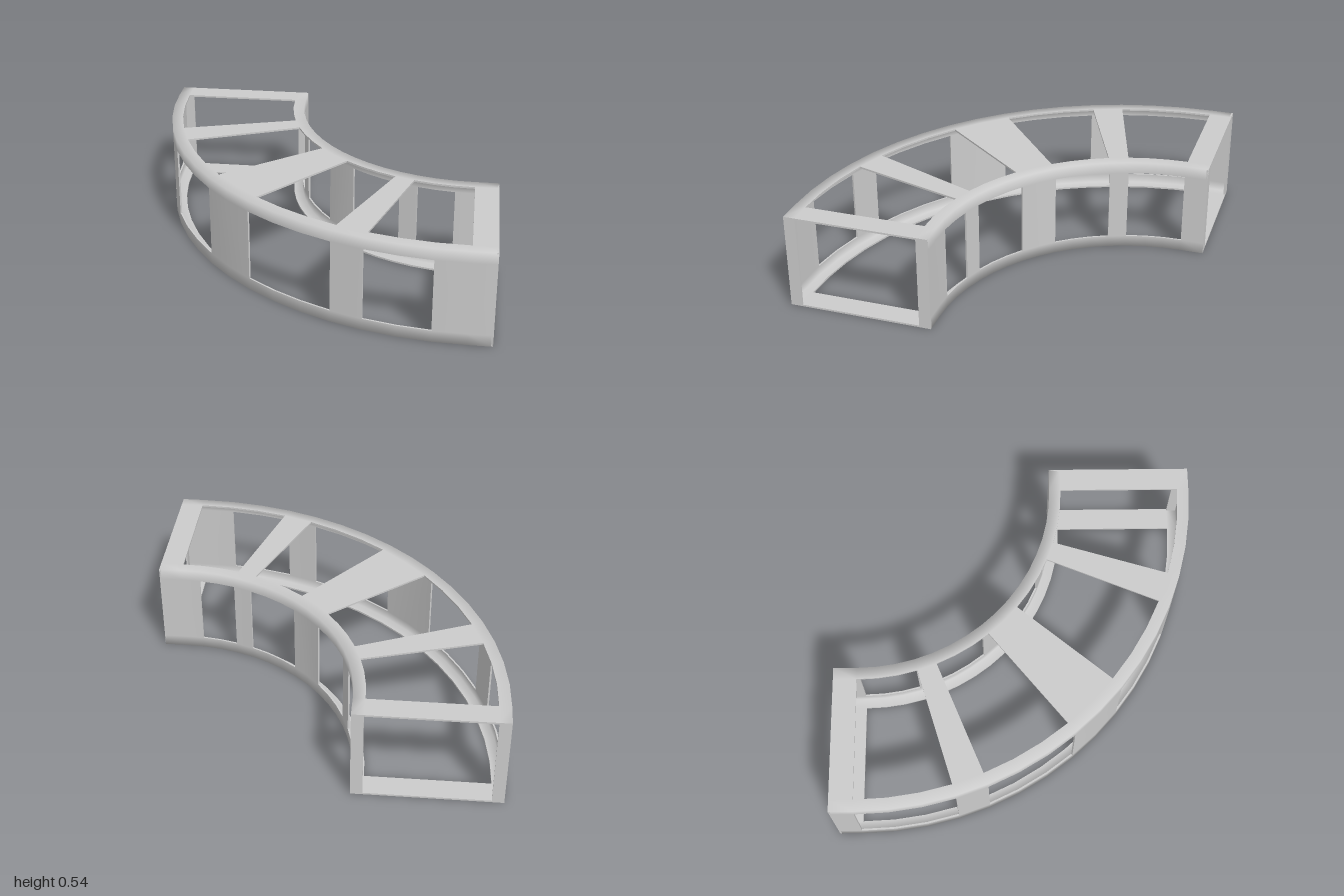
import * as THREE from 'three';
import { toCreasedNormals } from 'three/addons/utils/BufferGeometryUtils.js';

const STEPS = 16;      // facets in the quarter bend
const END = 0.13;      // straight length at each end
const CENTRE = 0.87;   // bend centre is (CENTRE, -CENTRE)
const HEIGHT = 0.535, BAR = 0.065, SHEET = 0.01;
const R0 = 1.07, R1 = 1.87;
const CELLS = STEPS + 2;

// Cross-section as [radius, height]: up the outer wall, over the top, down the inner wall, under
const SECTION = [
  [R1, 0], [R1, BAR], [R1, HEIGHT - BAR],
  [R1, HEIGHT], [R1 - BAR, HEIGHT], [R0 + BAR, HEIGHT],
  [R0, HEIGHT], [R0, HEIGHT - BAR], [R0, BAR],
  [R0, 0], [R0 + BAR, 0], [R1 - BAR, 0],
];
const N = SECTION.length;

// Cells along the bend that stay solid between the rails, by middle strip
const WALL = [0, 1, 4, 8, 9, 13, 17];
const SOLID = { 1: WALL, 4: [0, 4, 8, 9, 13, 17], 7: WALL, 10: [0, 17] };

function isSolid(cell, strip) {
  if (cell < 0 || cell >= CELLS) return false;
  return !SOLID[strip] || SOLID[strip].includes(cell);
}

// Vertices of every cross-section, pulled inwards by an inset
function layer(inset) {
  const points = [];
  for (let i = 0; i <= CELLS; i++) {
    const a = (THREE.MathUtils.clamp(i - 1, 0, STEPS) / STEPS) * Math.PI / 2;
    for (const [radius, height] of SECTION) {
      const r = THREE.MathUtils.clamp(radius, R0 + inset, R1 - inset);
      const y = THREE.MathUtils.clamp(height, inset, HEIGHT - inset);
      const x = CENTRE - r * Math.sin(a) + (i === 0 ? END : 0);
      const z = -CENTRE + r * Math.cos(a) - (i === CELLS ? END : 0);
      points.push(x, y, z);
    }
  }
  return points;
}

function surface(positions, index) {
  const geometry = new THREE.BufferGeometry();
  geometry.setAttribute('position', new THREE.Float32BufferAttribute(positions, 3));
  geometry.setIndex(index);
  geometry.computeVertexNormals();
  return geometry;
}

export function createModel() {
  const model = new THREE.Group();
  const material = new THREE.MeshStandardMaterial({ color: 0xcccccc });
  function add(name, geometry) {
    const mesh = new THREE.Mesh(geometry, material);
    mesh.name = name;
    model.add(mesh);
    return mesh;
  }

  const positions = [...layer(0), ...layer(SHEET)];
  const inner = N * (CELLS + 1);
  const skin = [], rim = [];
  for (let i = 0; i < CELLS; i++) {
    for (let k = 0; k < N; k++) {
      if (!isSolid(i, k)) continue;
      const next = (k + 1) % N, previous = (k + N - 1) % N;
      const a = i * N + k, b = i * N + next;
      const c = b + N, d = a + N;
      // Outside face and the inside face behind it
      skin.push(a, b, c, a, c, d);
      skin.push(a + inner, c + inner, b + inner, a + inner, d + inner, c + inner);
      // Sheet edge wherever the neighbouring cell is cut away
      const edges = [[a, b, i - 1, k], [b, c, i, next], [c, d, i + 1, k], [d, a, i, previous]];
      for (const [p, q, cell, strip] of edges) {
        if (!isSolid(cell, strip)) rim.push(q, p, p + inner, q, p + inner, q + inner);
      }
    }
  }
  add('curvedFrame', surface(positions, skin));
  add('cutEdges', toCreasedNormals(surface(positions, rim), 0.5));

  // Upright strips on both open ends
  for (const across of [1 - BAR / 2, 0.2 + BAR / 2]) {
    add('sideEndPost', new THREE.BoxGeometry(SHEET, HEIGHT, BAR))
      .position.set(1 - SHEET / 2, HEIGHT / 2, across);
    add('backEndPost', new THREE.BoxGeometry(BAR, HEIGHT, SHEET))
      .position.set(-across, HEIGHT / 2, -1 + SHEET / 2);
  }
  return model;
}
